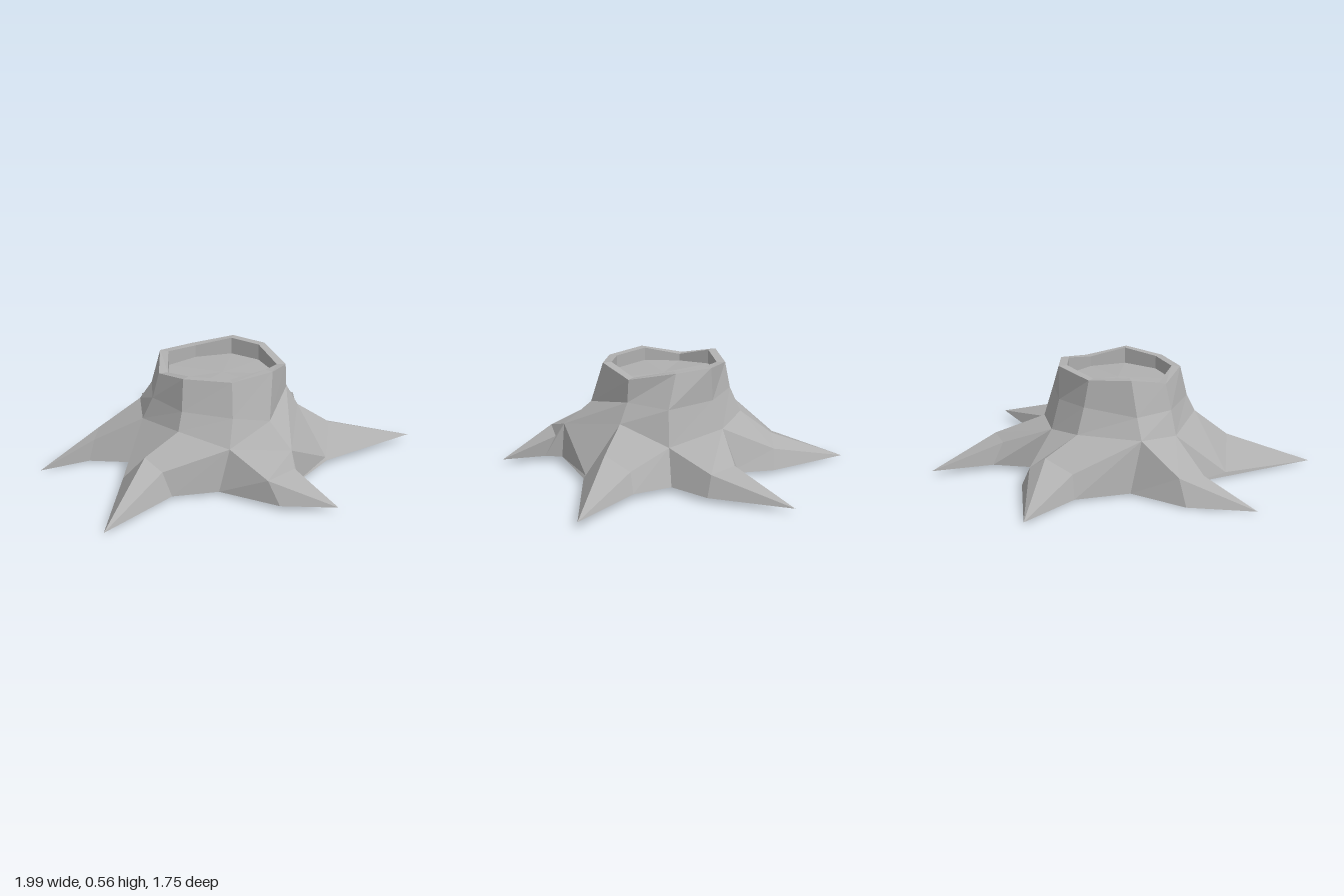
import * as THREE from 'three';

// Rings run clockwise as seen from above, starting at the back; points are [x, y, z]
const rim = [[0.04, 0.565, -0.28], [0.2, 0.56, -0.16], [0.29, 0.52, 0.065], [0.2, 0.56, 0.27], [-0.01, 0.54, 0.355],
  [-0.25, 0.54, 0.29], [-0.37, 0.5, 0.1], [-0.36, 0.55, -0.11], [-0.19, 0.535, -0.25]];
const waist = [[0.03, 0.39, -0.285], [0.28, 0.39, -0.16], [0.295, 0.4, 0.07], [0.18, 0.33, 0.36], [-0.01, 0.37, 0.41],
  [-0.26, 0.38, 0.33], [-0.405, 0.37, 0.11], [-0.41, 0.37, -0.11], [-0.19, 0.4, -0.28]];
const shoulder = [[0.02, 0.24, -0.34], [0.33, 0.21, -0.19], [0.355, 0.3, 0.08], [0.28, 0.215, 0.47], [-0.03, 0.235, 0.48],
  [-0.28, 0.29, 0.37], [-0.46, 0.25, 0.1], [-0.475, 0.27, -0.13], [-0.21, 0.27, -0.335]];

// The ground slopes slightly upwards towards +x
const ground = (x, z) => [x, 0.02 + 0.02 * x, z];

// Points on the ground between roots, keyed by ring column
const valley = {
  0: ground(0.08, -0.4), 1: ground(0.39, -0.235), 3: ground(0.285, 0.485),
  4: ground(-0.085, 0.51), 6: ground(-0.54, 0.125), 7: ground(-0.48, -0.2),
};

// Each root spans ring columns from..to; ridge points lie halfway out, sides are ground points
const roots = [
  { name: 'backLeftRoot', from: 0, to: 1, tip: [0.34, 0.025, -0.88],
    ridge: [[0.235, 0.14, -0.51], [0.4, 0.14, -0.46]], sides: [ground(0.24, -0.57), ground(0.43, -0.455)] },
  { name: 'leftRoot', from: 1, to: 3, tip: [0.99, 0.04, -0.06],
    ridge: [[0.53, 0.13, -0.08], [0.525, 0.19, 0.07], [0.495, 0.045, 0.205]],
    sides: [ground(0.565, -0.115), ground(0.5, 0.215)] },
  { name: 'frontLeftRoot', from: 3, to: 4, tip: [0.48, 0.03, 0.735],
    ridge: [[0.29, 0.14, 0.52], [0.145, 0.14, 0.645]], sides: [ground(0.32, 0.57), ground(0.2, 0.69)] },
  { name: 'frontRightRoot', from: 4, to: 6, tip: [-0.645, 0.01, 0.87],
    ridge: [[-0.365, 0.14, 0.52], [-0.45, 0.19, 0.45], [-0.565, 0.03, 0.35]],
    sides: [ground(-0.32, 0.535), ground(-0.57, 0.35)] },
  { name: 'rightRoot', from: 6, to: 7, tip: [-1, 0, 0.175],
    ridge: [[-0.72, 0.12, 0.07], [-0.7, 0.13, -0.07]], sides: [ground(-0.75, 0.085), ground(-0.77, -0.08)] },
  { name: 'backRightRoot', from: 7, to: 9, tip: [-0.48, 0.01, -0.82],
    ridge: [[-0.355, 0.13, -0.46], [-0.2, 0.18, -0.52], [-0.13, 0.12, -0.57]],
    sides: [ground(-0.39, -0.475), ground(-0.085, -0.59)] },
];

const wood = new THREE.MeshStandardMaterial({ color: 0xb0b0b0, flatShading: true });
wood.name = 'greyWood';

// Builds one faceted mesh from polygons, each split into a fan of triangles
function facets(name, polygons) {
  const points = [];
  for (const p of polygons) {
    for (let i = 1; i < p.length - 1; i++) points.push(...p[0], ...p[i], ...p[i + 1]);
  }
  const geometry = new THREE.BufferGeometry();
  geometry.setAttribute('position', new THREE.Float32BufferAttribute(points, 3));
  geometry.computeVertexNormals();
  const mesh = new THREE.Mesh(geometry, wood);
  mesh.name = name;
  return mesh;
}

// Closed band of quads between an upper and a lower ring
const band = (upper, lower) => upper.map((p, i) => {
  const j = (i + 1) % upper.length;
  return [p, upper[j], lower[j], lower[i]];
});

function rootFaces({ from, to, tip, ridge, sides: [sideA, sideB] }) {
  const at = (i) => shoulder[i % 9];
  const last = ridge.length - 1;
  const faces = [
    [at(from), ridge[0], sideA, valley[from]],
    [ridge[0], tip, sideA],
    [ridge[last], at(to), valley[to % 9], sideB],
    [ridge[last], sideB, tip],
  ];
  for (let i = 0; i < last; i++) {
    faces.push([at(from + i), at(from + i + 1), ridge[i + 1], ridge[i]]);
    faces.push([ridge[i], ridge[i + 1], tip]);
  }
  return faces;
}

export function createModel() {
  const model = new THREE.Group();
  model.name = 'treeStump';

  // Trunk wall
  model.add(facets('trunk', [...band(rim, waist), ...band(waist, shoulder)]));

  // Rim and the shallow hollow inside it
  const inner = rim.map(([x, y, z]) => [-0.04 + (x + 0.04) * 0.86, y, 0.04 + (z - 0.04) * 0.86]);
  const floor = inner.map(([x, y, z]) => [x, 0.47 + (y - 0.54) * 0.2, z]);
  model.add(facets('rim', band(inner, rim)));
  model.add(facets('hollowWall', band(floor, inner)));
  const middle = [-0.04, 0.475, 0.04];
  model.add(facets('hollowFloor', floor.map((p, i) => [middle, floor[(i + 1) % 9], p])));

  // Roots
  for (const root of roots) model.add(facets(root.name, rootFaces(root)));

  // Underside
  const centre = ground(-0.04, 0.04);
  model.add(facets('underside', roots.flatMap(({ from, to, tip, sides: [a, b] }) => [
    [centre, valley[from], valley[to % 9]],
    [valley[from], a, b, valley[to % 9]],
    [a, tip, b],
  ])));
  return model;
}
